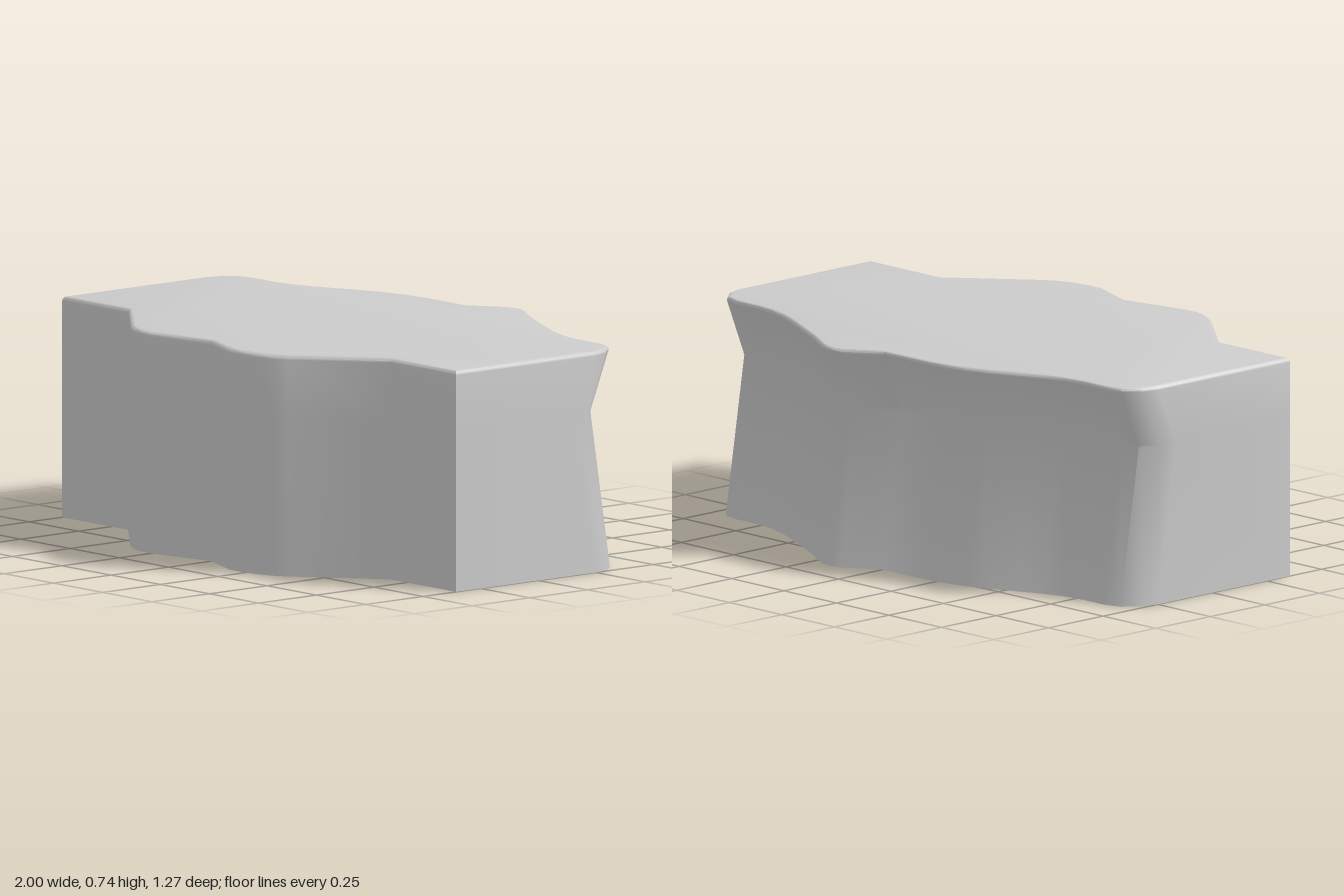
import * as THREE from 'three';
import { toCreasedNormals } from 'three/addons/utils/BufferGeometryUtils.js';

const HEIGHT = 0.74, WAIST = 0.53, PINCH = 0.085, BEVEL = 0.016;

// Plan outline as [x, z]: along the back, then returning along the front
const back = [
  [-1, -0.25], [-0.985, -0.31], [-0.94, -0.363], [-0.88, -0.38], [-0.78, -0.38], [-0.7, -0.39],
  [-0.62, -0.415], [-0.55, -0.445], [-0.45, -0.49], [-0.37, -0.52], [-0.28, -0.54], [-0.2, -0.548],
  [0, -0.548], [0.115, -0.625], [0.15, -0.636], [0.185, -0.634], [0.22, -0.62], [0.33, -0.555],
  [0.45, -0.495], [0.55, -0.445], [0.62, -0.415], [0.7, -0.39], [0.78, -0.38], [0.88, -0.38],
  [0.94, -0.363], [0.985, -0.31], [1, -0.25],
];
const front = [
  [1, 0.357], [0.665, 0.357], [0.4, 0.575], [0.36, 0.6], [0.3, 0.622], [0.23, 0.632], [0.17, 0.63],
  [0, 0.565], [-0.25, 0.612], [-0.3, 0.612], [-0.35, 0.6], [-0.4, 0.573], [-0.665, 0.357], [-1, 0.357],
];
const outline = [...back, ...front];

// Moves a closed outline inward by a mitred distance
function inset(points, distance) {
  const n = points.length;
  const inward = (a, b) => new THREE.Vector2(a[1] - b[1], b[0] - a[0]).normalize();
  return points.map((p, i) => {
    const n1 = inward(points[(i + n - 1) % n], p);
    const n2 = inward(p, points[(i + 1) % n]);
    const k = distance / (1 + n1.dot(n2));
    return [p[0] + (n1.x + n2.x) * k, p[1] + (n1.y + n2.y) * k];
  });
}

// Horizontal section; only the back is drawn in towards the waist
function section(y, distance) {
  const pinch = PINCH * (y < WAIST ? y / WAIST : (HEIGHT - y) / (HEIGHT - WAIST));
  return inset(outline, distance).map(([x, z], i) => [x, y, z + (i < back.length ? pinch : 0)]);
}

function bodyGeometry() {
  // Straight lower walls, waist, then a small rounded top edge
  const sections = [section(0, 0), section(WAIST, 0)];
  for (let i = 0; i <= 4; i++) {
    const a = (i / 4) * Math.PI / 2;
    sections.push(section(HEIGHT - BEVEL * (1 - Math.sin(a)), BEVEL * (1 - Math.cos(a))));
  }
  const n = outline.length;
  const indices = [];
  for (let s = 0; s < sections.length - 1; s++) {
    for (let i = 0; i < n; i++) {
      const a = s * n + i, b = s * n + (i + 1) % n;
      indices.push(a, a + n, b + n, a, b + n, b);
    }
  }
  // Flat bottom and top
  const cap = (s, up) => {
    const flat = sections[s].map((p) => new THREE.Vector2(p[0], p[2]));
    for (const [a, b, c] of THREE.ShapeUtils.triangulateShape(flat, [])) {
      const facesUp = THREE.ShapeUtils.area([flat[a], flat[b], flat[c]]) < 0;
      const tri = facesUp === up ? [a, b, c] : [a, c, b];
      indices.push(...tri.map((v) => v + s * n));
    }
  };
  cap(0, false);
  cap(sections.length - 1, true);

  const geometry = new THREE.BufferGeometry();
  geometry.setAttribute('position', new THREE.Float32BufferAttribute(sections.flat(2), 3));
  geometry.setIndex(indices);
  return toCreasedNormals(geometry, 0.72);
}

export function createModel() {
  const group = new THREE.Group();
  group.name = 'curvedBlock';
  const body = new THREE.Mesh(bodyGeometry(), new THREE.MeshStandardMaterial({ color: 0xcccccc }));
  body.name = 'body';
  group.add(body);
  return group;
}
